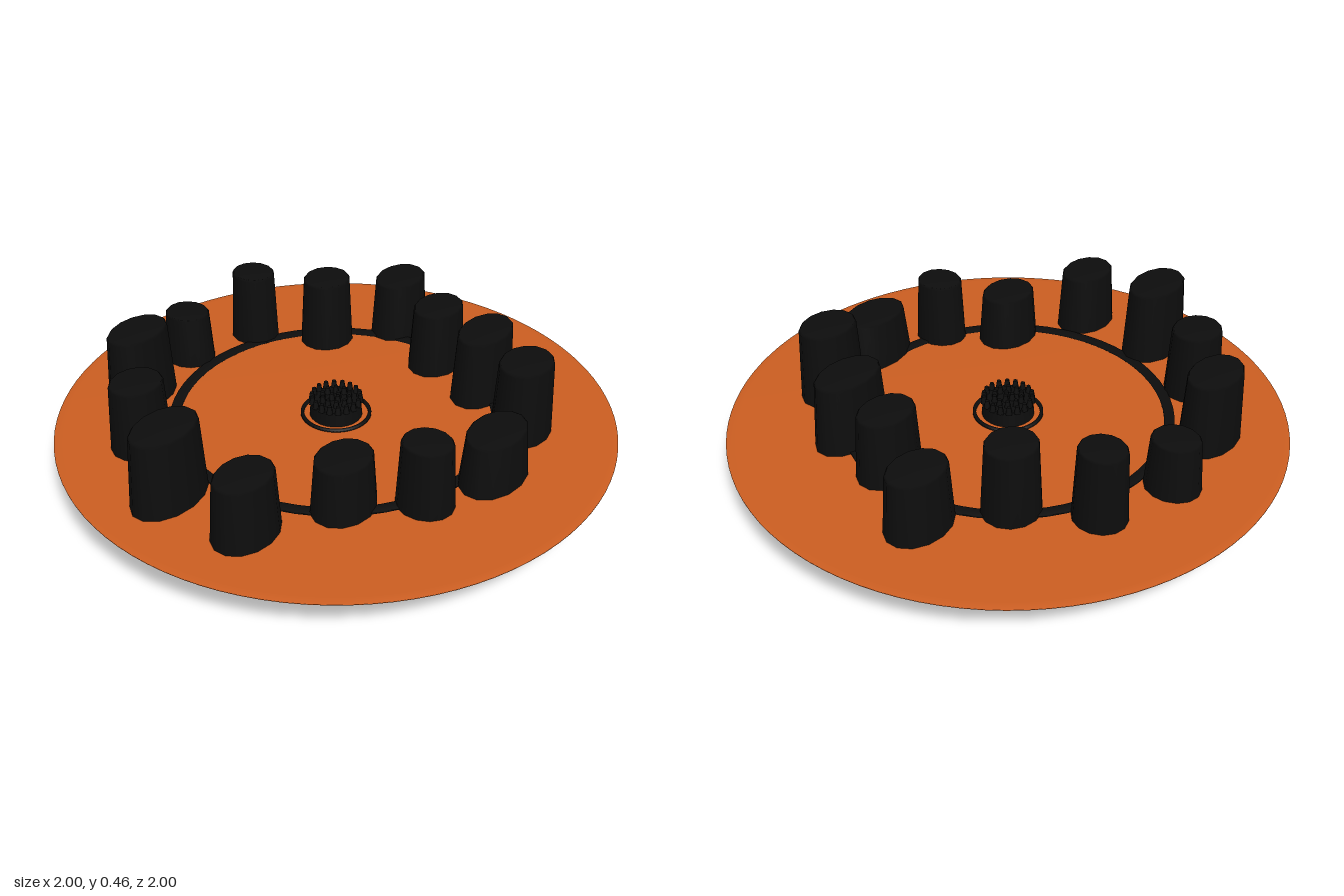
import * as THREE from 'three';

const orange = new THREE.MeshStandardMaterial({ color: 0xcc5e21 });
orange.name = 'burnt orange';
const black = new THREE.MeshStandardMaterial({ color: 0x0d0d0d });
black.name = 'black';

const lathe = (points, segments) =>
  new THREE.LatheGeometry(points.map(([x, y]) => new THREE.Vector2(x, y)), segments);

function add(parent, name, geometry, material, x = 0, y = 0, z = 0) {
  const mesh = new THREE.Mesh(geometry, material);
  mesh.name = name;
  mesh.position.set(x, y, z);
  parent.add(mesh);
  return mesh;
}

// Flat band lying on the disc
const band = (inner, outer, h) =>
  lathe([[inner, 0], [outer, 0], [outer, h], [inner, h], [inner, 0]], 64);

// Standing stones: x, z, half width, half depth, bottom, top
const STONES = [
  [-0.31, -0.65, 0.155, 0.105, 0.02, 0.45],
  [0, -0.69, 0.095, 0.105, 0.10, 0.37],
  [0.28, -0.59, 0.095, 0.102, 0.02, 0.45],
  [0.42, -0.34, 0.115, 0.107, 0.03, 0.44],
  [0.66, -0.155, 0.142, 0.107, 0.06, 0.40],
  [0.51, 0.11, 0.135, 0.105, 0.05, 0.42],
  [0.44, 0.35, 0.165, 0.107, 0.035, 0.43],
  [0.285, 0.595, 0.138, 0.11, 0, 0.46],
  [0, 0.645, 0.165, 0.11, 0.11, 0.355],
  [-0.265, 0.54, 0.098, 0.107, 0.04, 0.42],
  [-0.425, 0.33, 0.135, 0.11, 0.07, 0.37],
  [-0.71, 0.155, 0.14, 0.107, 0.06, 0.40],
  [-0.71, -0.165, 0.165, 0.11, 0.02, 0.45],
  [-0.545, -0.44, 0.12, 0.107, 0.03, 0.43],
];

export function createModel() {
  const model = new THREE.Group();
  model.name = 'stoneCircle';

  // Thin ground disc with a softened rim
  add(model, 'groundDisc', lathe([
    [0, 0.166], [0.97, 0.166], [1, 0.168], [1, 0.171], [0.97, 0.174], [0, 0.174],
  ], 96), orange);

  // Painted rings
  add(model, 'outerRing', band(0.56, 0.597, 0.008), black, 0, 0.174, 0);
  add(model, 'hearthRing', band(0.115, 0.127, 0.008), black, 0, 0.174, 0);

  // Tapered oval stones, one shared profile scaled to size
  const stoneShape = lathe([
    [0, 0], [0.97, 0], [1, 0.02], [0.82, 0.98], [0.77, 1], [0, 1],
  ], 14);
  const stones = new THREE.Group();
  stones.name = 'stones';
  model.add(stones);
  STONES.forEach(([x, z, rx, rz, low, high], i) => {
    add(stones, `stone${i + 1}`, stoneShape, black, x, low, z).scale.set(rx, high - low, rz);
  });

  // Central hearth: a low round body crowned with small lumps
  const hearth = new THREE.Group();
  hearth.name = 'hearth';
  model.add(hearth);
  add(hearth, 'hearthBody', new THREE.CylinderGeometry(0.09, 0.095, 0.056, 24), black, 0, 0.202, 0);
  const lump = new THREE.CylinderGeometry(0.008, 0.013, 0.03, 6);
  for (const [radius, count] of [[0.087, 18], [0.05, 10], [0.015, 3]]) {
    for (let i = 0; i < count; i++) {
      const a = (i / count) * Math.PI * 2;
      add(hearth, 'hearthLump', lump, black, radius * Math.cos(a), 0.24, radius * Math.sin(a));
    }
  }
  return model;
}
